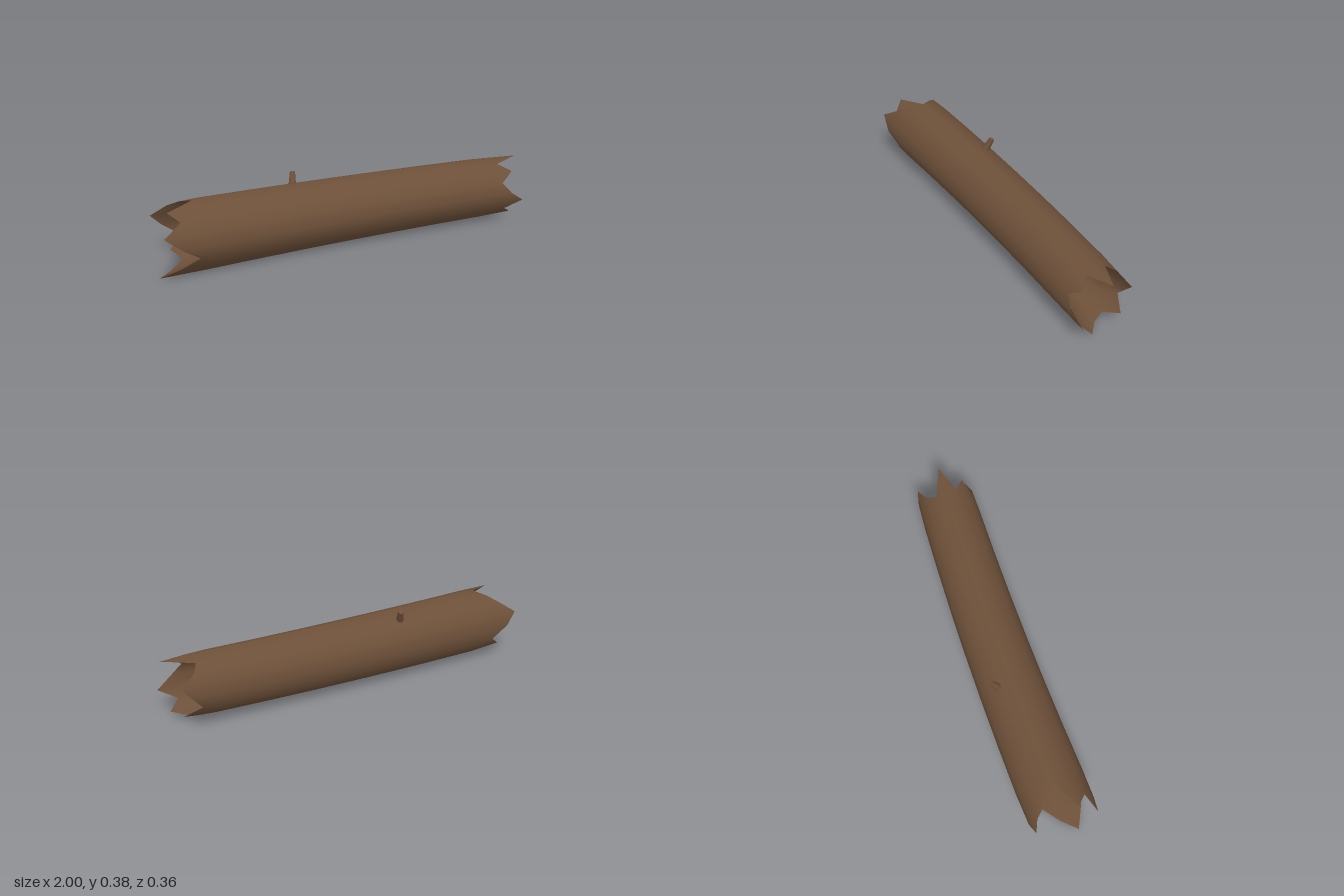
import * as THREE from 'three';

const SIDES = 16;
// Splinter reach of each end, by angle: 0 = front (+z), 4 = top, 8 = back, 12 = bottom
const LEFT_JAG = [0.90, 0.98, 0.89, 0.94, 0.80, 0.85, 0.90, 0.98, 0.92, 0.83, 0.90, 0.85, 0.93, 1.0, 0.90, 0.81];
const RIGHT_JAG = [0.90, 0.85, 0.92, 0.86, 1.0, 0.85, 0.88, 0.96, 0.91, 0.86, 0.94, 0.86, 0.88, 0.95, 0.89, 0.98];
// Slight irregularity of the trunk outline
const BULGE = [1.04, 1, 1.01, 1, 1.03, 0.98, 1, 1, 1, 1, 0.98, 0.98, 1.03, 1.07, 1, 1];

const STATIONS = [-1, -0.76, -0.5, -0.25, 0, 0.25, 0.5, 0.76, 1];
const last = STATIONS.length - 1;

const outerRadius = (x, k) => (0.163 - 0.012 * x) * BULGE[k];
const innerRadius = (x, k) => 0.125 - 0.006 * x * x + 0.003 * Math.sin(k * 2.4 + x * 5);

// One wall of the hollow trunk; both walls meet at the splintered rims
function wall(radius, inward) {
  const pos = [], idx = [];
  STATIONS.forEach((station, i) => {
    const rim = i === 0 || i === last;
    for (let k = 0; k < SIDES; k++) {
      const a = (k / SIDES) * Math.PI * 2;
      const x = i === 0 ? -LEFT_JAG[k] : i === last ? RIGHT_JAG[k] : station;
      const r = rim ? outerRadius(x, k) * 0.975 : radius(x, k);
      const bend = -0.023 + 0.026 * x * x;
      pos.push(x, 0.181 + 0.003 * x + r * Math.sin(a), bend + r * Math.cos(a));
    }
  });
  for (let i = 0; i < last; i++) {
    for (let k = 0; k < SIDES; k++) {
      const a = i * SIDES + k, b = a + SIDES;
      const c = i * SIDES + (k + 1) % SIDES, d = c + SIDES;
      if (inward) idx.push(a, c, b, b, c, d);
      else idx.push(a, b, c, b, d, c);
    }
  }
  const g = new THREE.BufferGeometry();
  g.setAttribute('position', new THREE.Float32BufferAttribute(pos, 3));
  g.setIndex(idx);
  g.computeVertexNormals();
  return g;
}

// Tapered broken twig between two points
function twig(name, from, to, r0, r1, material) {
  const a = new THREE.Vector3(...from), b = new THREE.Vector3(...to);
  const dir = b.clone().sub(a);
  const mesh = new THREE.Mesh(new THREE.CylinderGeometry(r1, r0, dir.length(), 8), material);
  mesh.position.copy(a).add(b).multiplyScalar(0.5);
  mesh.quaternion.setFromUnitVectors(new THREE.Vector3(0, 1, 0), dir.normalize());
  mesh.name = name;
  return mesh;
}

export function createModel() {
  const group = new THREE.Group();
  group.name = 'hollowLog';
  const bark = new THREE.MeshStandardMaterial({ color: 0x6d5039 });
  bark.name = 'brown bark';

  const outer = new THREE.Mesh(wall(outerRadius, false), bark);
  outer.name = 'outerBark';
  const inner = new THREE.Mesh(wall(innerRadius, true), bark);
  inner.name = 'innerWall';
  group.add(outer, inner);

  // Twig on the back of the top, and a stub inside the hollow
  group.add(twig('outerTwig', [-0.26, 0.31, -0.092], [-0.245, 0.377, -0.127], 0.021, 0.014, bark));
  group.add(twig('innerStub', [0.2, 0.05, 0.018], [0.2, 0.148, 0.053], 0.028, 0.014, bark));
  return group;
}
